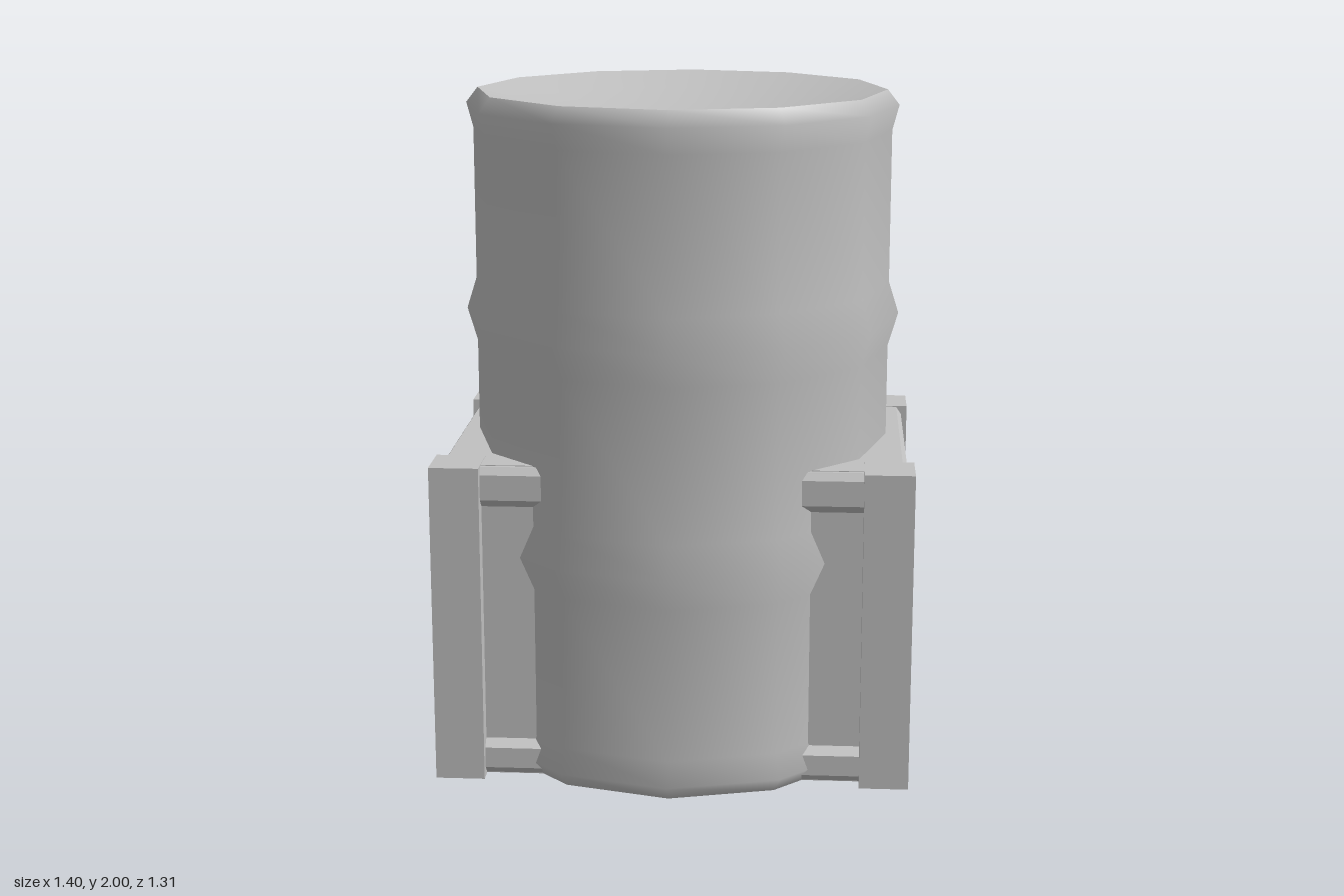
import * as THREE from 'three';

const grey = new THREE.MeshStandardMaterial({ color: 0xc0c0c0 });
grey.name = 'plain grey';

const points = (list) => list.map(([x, y]) => new THREE.Vector2(x, y));

function add(parent, name, geometry, x = 0, y = 0, z = 0) {
  const mesh = new THREE.Mesh(geometry, grey);
  mesh.name = name;
  mesh.position.set(x, y, z);
  parent.add(mesh);
  return mesh;
}

function makeBarrel() {
  const barrel = new THREE.Group();
  barrel.name = 'barrel';
  // Twelve-sided wall with rolled rims and two raised hoops
  const wall = [
    [0.61, 0], [0.645, 0.045], [0.625, 0.12],
    [0.625, 0.58], [0.655, 0.675], [0.625, 0.77],
    [0.625, 1.23], [0.655, 1.33], [0.625, 1.425],
    [0.625, 1.88], [0.645, 1.955], [0.61, 2],
  ];
  add(barrel, 'barrelWall', new THREE.LatheGeometry(points(wall), 12));
  // Shallow dished lid
  const lid = [[0.61, 2], [0.46, 1.96], [0.3, 1.932], [0.15, 1.915], [0, 1.91]];
  add(barrel, 'barrelLid', new THREE.LatheGeometry(points(lid), 12));
  add(barrel, 'barrelBase', new THREE.LatheGeometry(points([[0, 0], [0.61, 0]]), 12));
  return barrel;
}

// Bevelled rail: profile is (outward, height), swept along the side
function addRail(side, name, profile, distance, half) {
  const geometry = new THREE.ExtrudeGeometry(new THREE.Shape(points(profile)), {
    depth: half * 2, bevelEnabled: false,
  });
  add(side, name, geometry, distance, 0, -half);
}

function addHandle(side) {
  for (const s of [-1, 1]) {
    add(side, 'handlePlate', new THREE.BoxGeometry(0.04, 0.11, 0.137), 0.67, 0.705, s * 0.197);
  }
  // U-shaped grip with chamfered edges
  const b = 0.007;
  const grip = new THREE.Shape(points([
    [-0.207, 0.69], [-0.143, 0.522], [0.143, 0.522], [0.207, 0.69],
    [0.192, 0.69], [0.134, 0.55], [-0.134, 0.55], [-0.192, 0.69],
  ]));
  const geometry = new THREE.ExtrudeGeometry(grip, {
    depth: 0.012, bevelThickness: b, bevelSize: b, bevelSegments: 1,
  });
  geometry.rotateY(Math.PI / 2);
  add(side, 'handleGrip', geometry, 0.681);
}

function makeCrate() {
  const crate = new THREE.Group();
  crate.name = 'crate';
  add(crate, 'crateBody', new THREE.BoxGeometry(1.31, 0.953, 0.9), 0, 0.4775, 0);
  // Corner posts
  for (const sx of [-1, 1]) {
    for (const sz of [-1, 1]) {
      add(crate, 'cornerPost', new THREE.BoxGeometry(0.145, 0.956, 0.15), sx * 0.6275, 0.478, sz * 0.425);
    }
  }
  // Rails on all four sides, handles on the two ends
  const topRail = [[-0.01, 0.83], [0, 0.83], [0.027, 0.855], [0.027, 0.93], [0.012, 0.952], [-0.01, 0.952]];
  const bottomRail = [[-0.01, 0.003], [0, 0.003], [0.027, 0.028], [0.027, 0.09], [0, 0.112], [-0.01, 0.112]];
  for (let k = 0; k < 4; k++) {
    const end = k % 2 === 0;
    const side = new THREE.Group();
    side.name = end ? 'crateEnd' : 'crateLongSide';
    side.rotation.y = -k * Math.PI / 2;
    const distance = end ? 0.655 : 0.45;
    const half = end ? 0.35 : 0.555;
    addRail(side, 'topRail', topRail, distance, half);
    addRail(side, 'bottomRail', bottomRail, distance, half);
    if (end) addHandle(side);
    crate.add(side);
  }
  return crate;
}

export function createModel() {
  const model = new THREE.Group();
  model.name = 'barrelInCrate';
  model.add(makeBarrel(), makeCrate());
  return model;
}
